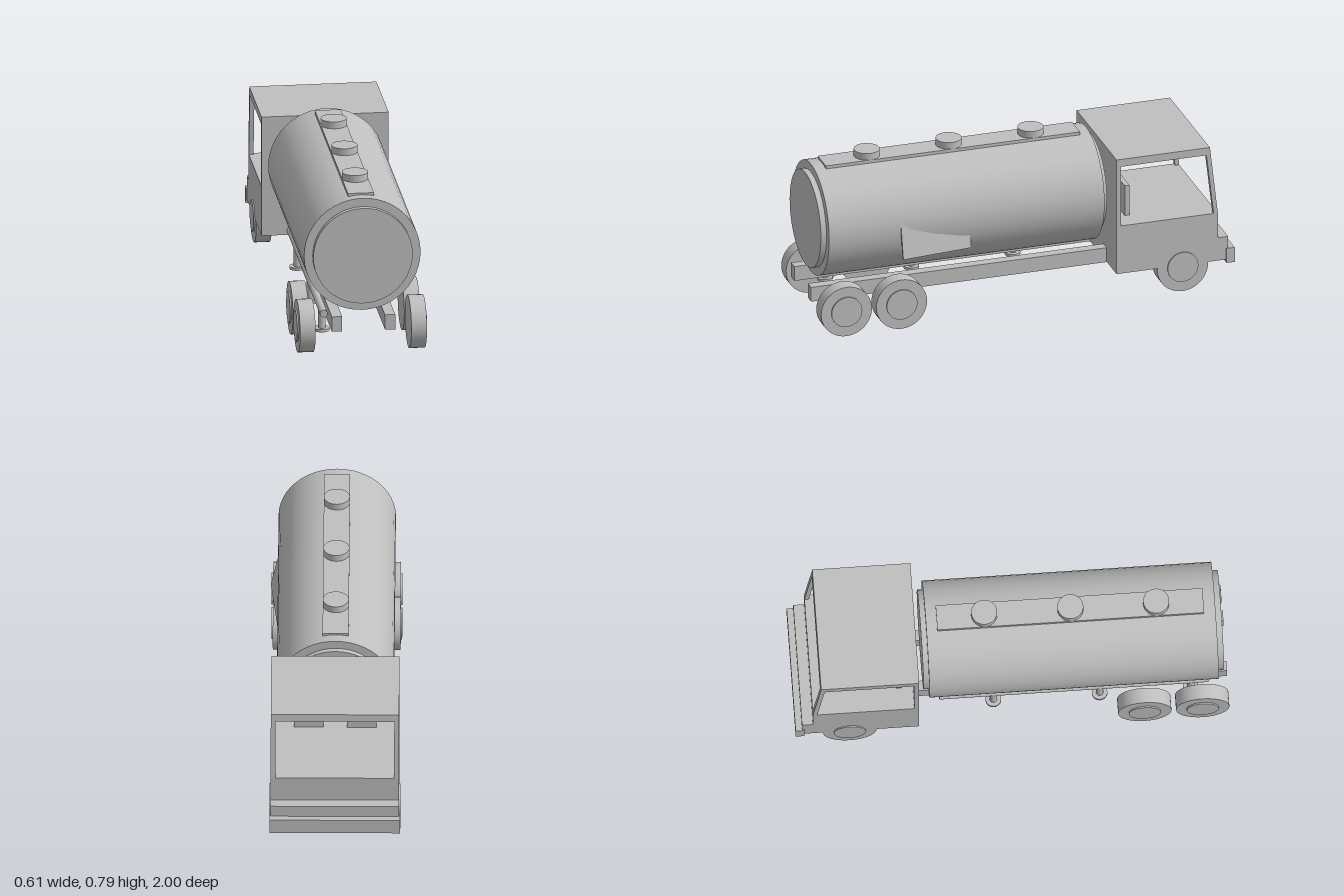
import * as THREE from 'three';

export function createModel() {
  const model = new THREE.Group();
  const grey = new THREE.MeshStandardMaterial({ color: 0xbfbfbf });
  grey.name = 'plain grey';

  const add = (name, geometry, x = 0, y = 0, z = 0) => {
    const mesh = new THREE.Mesh(geometry, grey);
    mesh.name = name;
    mesh.position.set(x, y, z);
    model.add(mesh);
    return mesh;
  };
  // box given by its lower and upper limits on each axis
  const box = (name, x0, x1, y0, y1, z0, z1) =>
    add(name, new THREE.BoxGeometry(x1 - x0, y1 - y0, z1 - z0),
      (x0 + x1) / 2, (y0 + y1) / 2, (z0 + z1) / 2);
  // cylinder lying along z
  const barrel = (name, r, z0, z1, x, y, sides) =>
    add(name, new THREE.CylinderGeometry(r, r, z1 - z0, sides).rotateX(Math.PI / 2), x, y, (z0 + z1) / 2);
  // side profile in (-z, y), extruded across x
  const profile = (name, points, width, x = 0) => {
    const shape = new THREE.Shape(points.map(([s, y]) => new THREE.Vector2(s, y)));
    const g = new THREE.ExtrudeGeometry(shape, { depth: width, bevelEnabled: false });
    return add(name, g.translate(0, 0, -width / 2).rotateY(Math.PI / 2), x);
  };

  // Tank with stepped ends, walkway and hatches
  barrel('tank', 0.27, -0.38, 0.953, 0, 0.483, 48);
  barrel('tankEnds', 0.23, -0.405, 0.98, 0, 0.483, 48);
  box('walkway', -0.06, 0.06, 0.735, 0.761, -0.33, 0.9);
  for (const z of [-0.11, 0.287, 0.683])
    add('hatch', new THREE.CylinderGeometry(0.06, 0.06, 0.038, 32), 0, 0.775, z);

  // Leaning side plate, sunk partly into the tank
  const plate = new THREE.BoxGeometry(0.012, 0.22, 0.34);
  const p = plate.attributes.position;
  for (let i = 0; i < p.count; i++)
    p.setX(i, p.getX(i) - 0.218 * (p.getY(i) + 0.11) + 0.1 * (p.getZ(i) - 0.17));
  plate.computeVertexNormals();
  add('sidePlate', plate, 0.298, 0.46, 0.435);

  // Chassis rails
  for (const side of [-1, 1])
    box('chassisRail', side * 0.123 - 0.024, side * 0.123 + 0.024, 0.128, 0.2, -0.45, 1.0);

  // Drain pipe and outlets
  barrel('drainPipe', 0.018, -0.33, 0.91, -0.173, 0.187, 24);
  for (const z of [-0.08, 0.41, 0.83]) {
    add('outletStem', new THREE.CylinderGeometry(0.017, 0.017, 0.1, 24), -0.173, 0.137, z);
    add('outletFlange', new THREE.CylinderGeometry(0.036, 0.036, 0.013, 24), -0.173, 0.0885, z);
  }

  // Wheels with raised hubs
  for (const side of [-1, 1])
    for (const z of [-0.75, 0.61, 0.877]) {
      add('wheel', new THREE.CylinderGeometry(0.123, 0.123, 0.072, 40).rotateZ(Math.PI / 2), side * 0.258, 0.123, z);
      add('wheelHub', new THREE.CylinderGeometry(0.074, 0.074, 0.02, 32).rotateZ(Math.PI / 2), side * 0.291, 0.123, z);
    }

  // Cab: lower body, bumper, rear wall, roof, front pillars
  profile('cabBody', [[0.43, 0.13], [0.97, 0.13], [0.97, 0.245], [0.92, 0.245], [0.92, 0.37], [0.43, 0.37]], 0.59);
  box('bumper', -0.301, 0.301, 0.115, 0.188, -1.0, -0.96);
  box('cabRearWall', -0.295, 0.295, 0.37, 0.668, -0.452, -0.43);
  profile('cabRoof', [[0.43, 0.668], [0.886, 0.668], [0.882, 0.705], [0.43, 0.705]], 0.59);
  for (const side of [-1, 1]) {
    profile('cabPillar', [[0.9, 0.37], [0.92, 0.37], [0.886, 0.668], [0.865, 0.668]], 0.022, side * 0.284);
    box('seatBack', side * 0.122 - 0.068, side * 0.122 + 0.068, 0.37, 0.52, -0.527, -0.504);
  }

  return model;
}
